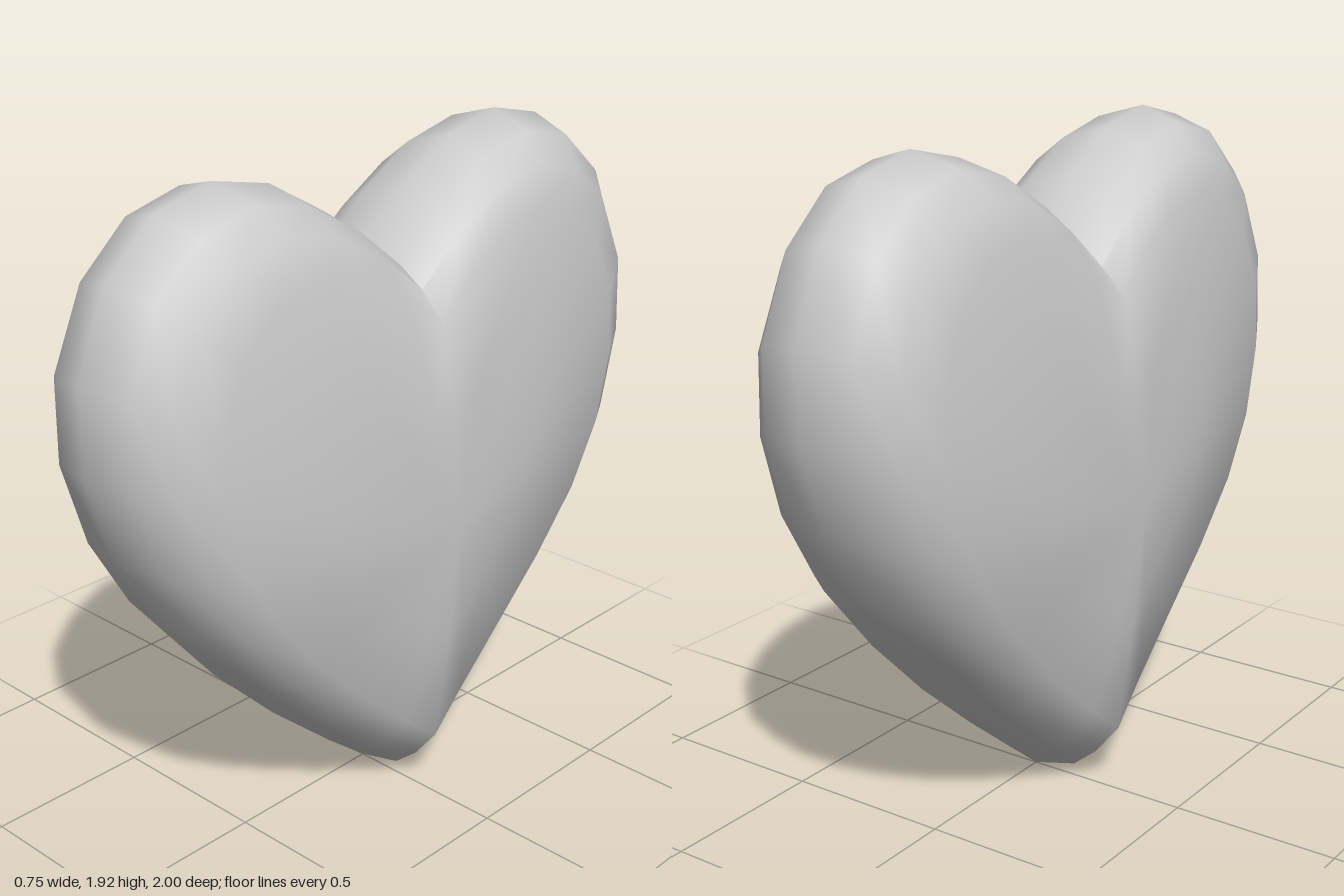
import * as THREE from 'three';
import { toCreasedNormals } from 'three/addons/utils/BufferGeometryUtils.js';

// Half of the heart outline as [z, y], from the bottom tip to the cleft
const HALF = [
  [0, 0.0], [0.15, 0.12], [0.38, 0.32], [0.6, 0.54], [0.79, 0.77], [0.92, 1.0], [1, 1.26],
  [1, 1.51], [0.9, 1.74], [0.74, 1.88], [0.55, 1.925], [0.35, 1.88], [0.16, 1.77], [0, 1.64],
];
// Cross-section as [outline scale, half thickness], from the face centre to the rim
const SECTION = [[0, 0.35], [0.4, 0.33], [0.78, 0.297], [0.89, 0.24], [0.96, 0.155], [1, 0]];
const CENTRE_Y = 0.9;

function heartGeometry() {
  const mirrored = HALF.slice(1, -1).reverse().map(([z, y]) => [-z, y]);
  const outline = [...HALF, ...mirrored];
  const n = outline.length;
  const levels = [
    ...SECTION.map(([s, t]) => [s, t, 1]),
    ...SECTION.slice(0, -1).reverse().map(([s, t]) => [s, t, -1]),
  ];

  const positions = [];
  for (const [s, t, side] of levels) {
    for (const [oz, oy] of outline) {
      const z = oz * s;
      const y = CENTRE_Y + (oy - CENTRE_Y) * s;
      // thinner toward top and bottom, with a soft ridge down the middle
      const taper = 1 - 0.1 * Math.min(1, Math.abs(y - CENTRE_Y) / 0.75);
      const ridge = s < 0.8 ? 0.025 * Math.max(0, 1 - Math.abs(z) / 0.2) : 0;
      positions.push(side * (t * taper + ridge), y, z);
    }
  }

  const index = [];
  const last = levels.length - 2;
  for (let i = 0; i <= last; i++) {
    for (let j = 0; j < n; j++) {
      const k = (j + 1) % n;
      const a = i * n + j, b = a + n, d = i * n + k, c = d + n;
      if (i > 0) index.push(a, d, c);
      if (i < last) index.push(a, c, b);
    }
  }

  const geometry = new THREE.BufferGeometry();
  geometry.setAttribute('position', new THREE.Float32BufferAttribute(positions, 3));
  geometry.setIndex(index);
  // smooth all over, sharp only at the cleft and the tip
  return toCreasedNormals(geometry, 1.0);
}

export function createModel() {
  const group = new THREE.Group();
  group.name = 'heart';
  const body = new THREE.Mesh(heartGeometry(), new THREE.MeshStandardMaterial({ color: 0xcccccc }));
  body.name = 'heartBody';
  group.add(body);
  return group;
}
